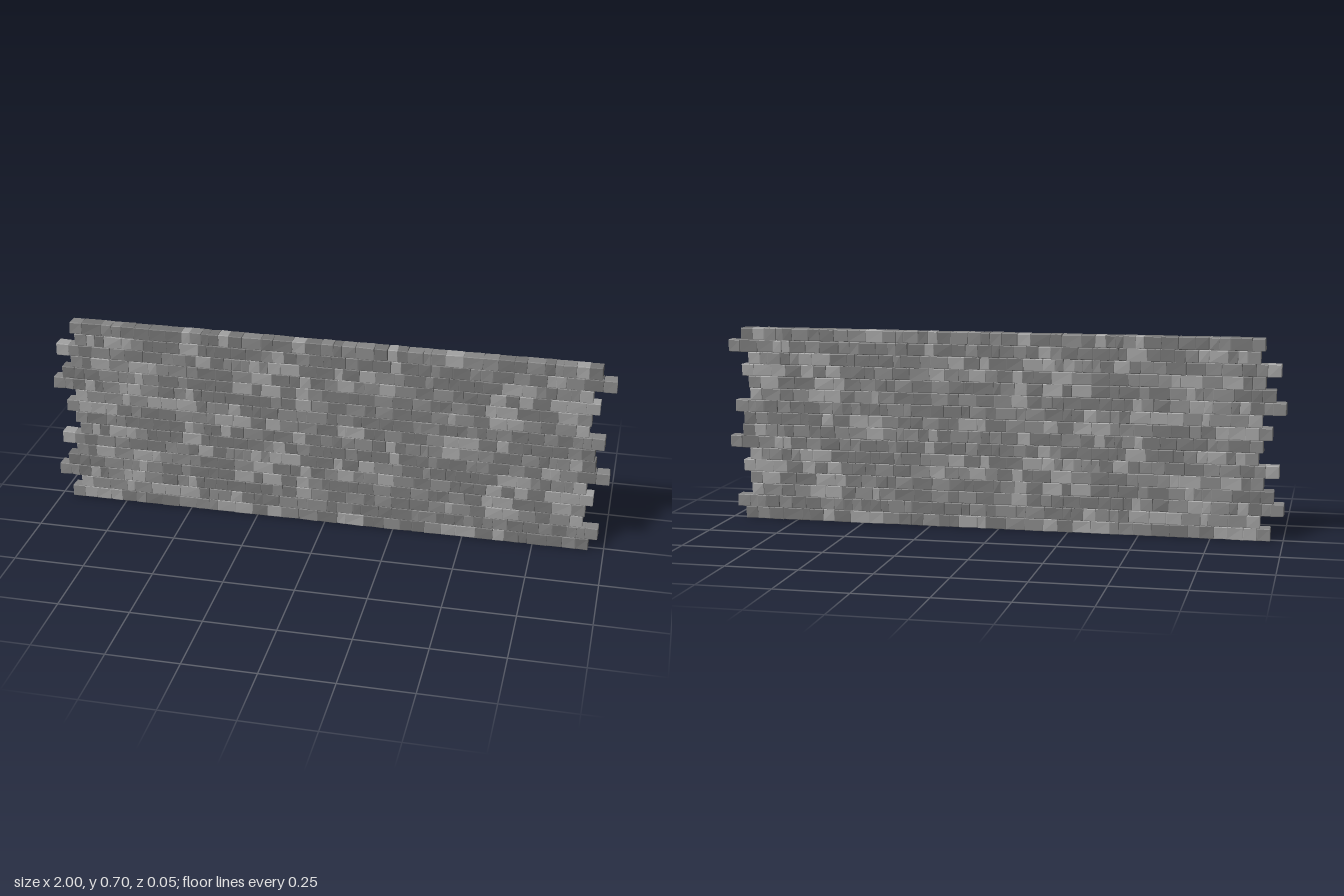
import * as THREE from 'three';
import { mergeGeometries } from 'three/addons/utils/BufferGeometryUtils.js';
import { RoundedBoxGeometry } from 'three/addons/geometries/RoundedBoxGeometry.js';

const ROWS = 16, HEIGHT = 0.7, DEPTH = 0.046;
const ROW_H = HEIGHT / ROWS;
const SHADES = [0x757575, 0x878787, 0xa2a2a2];

// Left and right ends of the courses, bottom to top; the bond repeats every 8 courses
const ENDS = [
  [-0.955, 0.945], [-0.92, 0.975], [-1, 0.92], [-0.965, 0.925],
  [-0.93, 0.95], [-0.98, 0.925], [-0.91, 1], [-0.925, 0.95],
];

function makeRandom(seed) {
  let s = seed;
  return () => {
    s = (s * 16807) % 2147483647;
    return s / 2147483647;
  };
}

// Chamfered brick whose eight corners are each nudged a little
function brickGeometry(x0, x1, y, rand) {
  const w = x1 - x0 + 0.001, h = ROW_H, d = DEPTH;
  const geo = new RoundedBoxGeometry(w, h, d, 1, 0.0022);
  const nudge = [];
  for (let i = 0; i < 8; i++) {
    nudge.push([(rand() - 0.5) * 0.003, (rand() - 0.5) * 0.002, (rand() - 0.5) * 0.003]);
  }
  const pos = geo.attributes.position;
  for (let i = 0; i < pos.count; i++) {
    const p = [pos.getX(i), pos.getY(i), pos.getZ(i)];
    const corner = (p[0] > 0 ? 1 : 0) + (p[1] > 0 ? 2 : 0) + (p[2] > 0 ? 4 : 0);
    const n = nudge[corner];
    pos.setXYZ(i, p[0] + n[0] + (x0 + x1) / 2, Math.max(0, p[1] + n[1] + y), p[2] + n[2]);
  }
  geo.computeVertexNormals();
  return geo;
}

// Split a course into bricks of mixed length that fill it exactly
function brickJoints(left, right, rand) {
  const widths = [0.045];
  let total = 0.045;
  while (total < right - left - 0.06) {
    const w = rand() < 0.35 ? 0.027 + rand() * 0.012 : 0.042 + rand() * 0.032;
    widths.push(w);
    total += w;
  }
  widths.push(0.045);
  total += 0.045;
  const joints = [left];
  for (const w of widths) joints.push(joints[joints.length - 1] + w * (right - left) / total);
  return joints;
}

export function createModel() {
  const wall = new THREE.Group();
  wall.name = 'brickWall';
  const materials = SHADES.map(color => new THREE.MeshStandardMaterial({ color, flatShading: true }));

  for (let row = 0; row < ROWS; row++) {
    const rand = makeRandom(4021 + 7919 * (row % ENDS.length));
    for (let i = 0; i < 5; i++) rand();
    const [left, right] = ENDS[row % ENDS.length];
    const joints = brickJoints(left, right, rand);
    const byShade = SHADES.map(() => []);
    for (let i = 0; i + 1 < joints.length; i++) {
      const pick = rand();
      const shade = pick < 0.45 ? 0 : pick < 0.78 ? 1 : 2;
      byShade[shade].push(brickGeometry(joints[i], joints[i + 1], (row + 0.5) * ROW_H, rand));
    }

    // One course, with its bricks merged by shade
    const course = new THREE.Group();
    course.name = `course${row + 1}`;
    byShade.forEach((list, s) => {
      if (!list.length) return;
      const mesh = new THREE.Mesh(mergeGeometries(list), materials[s]);
      mesh.name = ['darkBricks', 'midBricks', 'lightBricks'][s];
      course.add(mesh);
    });
    wall.add(course);
  }
  return wall;
}
